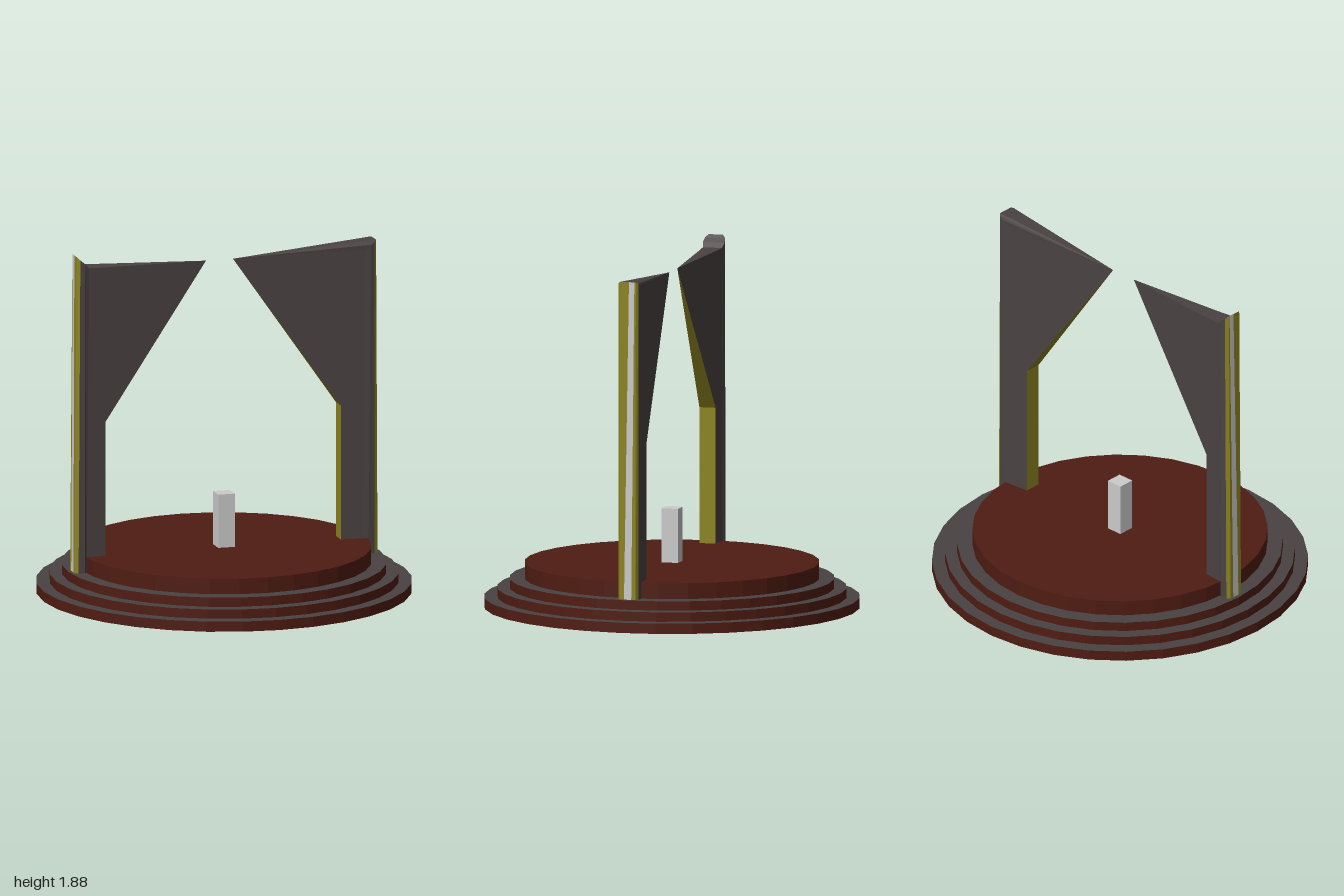
import * as THREE from 'three';

const mat = (color) => new THREE.MeshStandardMaterial({ color, flatShading: true });
const red = mat(0x4f1c12), stone = mat(0x4a4242), olive = mat(0x8c8420), pale = mat(0xcccccc);

function add(group, name, geometry, material) {
  const mesh = new THREE.Mesh(geometry, material);
  mesh.name = name;
  group.add(mesh);
  return mesh;
}

// Collects quads and triangles; flip mirrors the part across x = 0
function makeFaces(flip) {
  const points = [];
  const tri = (a, b, c) => {
    for (const p of flip ? [a, c, b] : [a, b, c]) points.push(flip ? -p[0] : p[0], p[1], p[2]);
  };
  return {
    tri,
    quad(a, b, c, d) { tri(a, b, c); tri(a, c, d); },
    build() {
      const g = new THREE.BufferGeometry();
      g.setAttribute('position', new THREE.Float32BufferAttribute(points, 3));
      g.computeVertexNormals();
      return g;
    },
  };
}

// Wedge-shaped post widening from the inner tip to a faceted outer end.
// stations: [top x, bottom x, half width, top y, bottom y], tip first
function makePost(name, flip, stations, fanTop) {
  const group = new THREE.Group();
  group.name = name;
  const body = makeFaces(flip), trim = makeFaces(flip), strip = makeFaces(flip);
  const top = (s, side) => [s[0], s[3], side * s[2]];
  const bottom = (s, side) => [s[1], s[4], side * s[2]];
  const n = stations.length;
  const tip = top(stations[0], 1);

  for (let i = 0; i < n - 1; i++) {
    const a = stations[i], b = stations[i + 1];
    const wall = i === n - 2 ? trim : body;
    // side walls
    wall.quad(bottom(a, 1), bottom(b, 1), top(b, 1), top(a, 1));
    wall.quad(bottom(b, -1), bottom(a, -1), top(a, -1), top(b, -1));
    // inner edge and underside
    trim.quad(bottom(a, -1), bottom(b, -1), bottom(b, 1), bottom(a, 1));
    // top
    if (fanTop) {
      body.tri(tip, top(a, 1), top(b, 1));
      body.tri(tip, top(b, -1), top(a, -1));
    } else {
      body.quad(top(a, 1), top(b, 1), top(b, -1), top(a, -1));
    }
  }
  // outer end: pale strip drifting sideways between two trim strips
  const e = stations[n - 1], w = e[2];
  if (fanTop) body.tri(tip, top(e, 1), top(e, -1));
  const zt = [w, -0.005, -0.035, -w], zb = [w, 0.02, -0.02, -w];
  for (let i = 0; i < 3; i++) {
    (i === 1 ? strip : trim).quad(
      [e[1], e[4], zb[i]], [e[1], e[4], zb[i + 1]],
      [e[0], e[3], zt[i + 1]], [e[0], e[3], zt[i]]);
  }
  add(group, 'postBody', body.build(), stone);
  add(group, 'postTrim', trim.build(), olive);
  add(group, 'postStrip', strip.build(), pale);
  return group;
}

export function createModel() {
  const model = new THREE.Group();

  // Stepped round base: [radius, bottom, top]
  const tiers = [[1, 0, 0.055], [0.93, 0.055, 0.105], [0.865, 0.105, 0.155], [0.785, 0.155, 0.24]];
  tiers.forEach(([r, y0, y1], i) => {
    add(model, 'stepRiser', new THREE.CylinderGeometry(r, r, y1 - y0, 32, 1, true), red)
      .position.y = (y0 + y1) / 2;
    const next = tiers[i + 1];
    const tread = next
      ? add(model, 'stepTread', new THREE.RingGeometry(next[0], r, 32), stone)
      : add(model, 'floor', new THREE.CircleGeometry(r, 32), red);
    tread.rotation.x = -Math.PI / 2;
    tread.position.y = y1;
  });
  add(model, 'underside', new THREE.CircleGeometry(1, 32), stone).rotation.x = Math.PI / 2;

  // Central block
  add(model, 'centreBlock', new THREE.BoxGeometry(0.092, 0.29, 0.092), pale).position.y = 0.385;

  // Left post (+x): top rises in a fan from the tip
  model.add(makePost('leftPost', false, [
    [0.05, 0.05, 0, 1.8, 1.8],
    [0.635, 0.635, 0.045, 1.808, 0.97],
    [0.635, 0.635, 0.045, 1.808, 0.155],
    [0.77, 0.75, 0.055, 1.81, 0.155],
    [0.8, 0.785, 0.059, 1.838, 0.155],
    [0.82, 0.82, 0.055, 1.852, 0.155],
    [0.832, 0.84, 0.043, 1.86, 0.155],
  ], true));

  // Right post (-x): nearly level top with a tilted end cap
  model.add(makePost('rightPost', true, [
    [0.1, 0.1, 0, 1.8, 1.8],
    [0.672, 0.672, 0.045, 1.812, 0.97],
    [0.672, 0.672, 0.045, 1.812, 0.155],
    [0.765, 0.78, 0.053, 1.815, 0.155],
    [0.79, 0.79, 0.06, 1.84, 0.155],
    [0.815, 0.825, 0.055, 1.862, 0.155],
    [0.83, 0.843, 0.04, 1.877, 0.155],
  ], false));

  return model;
}
